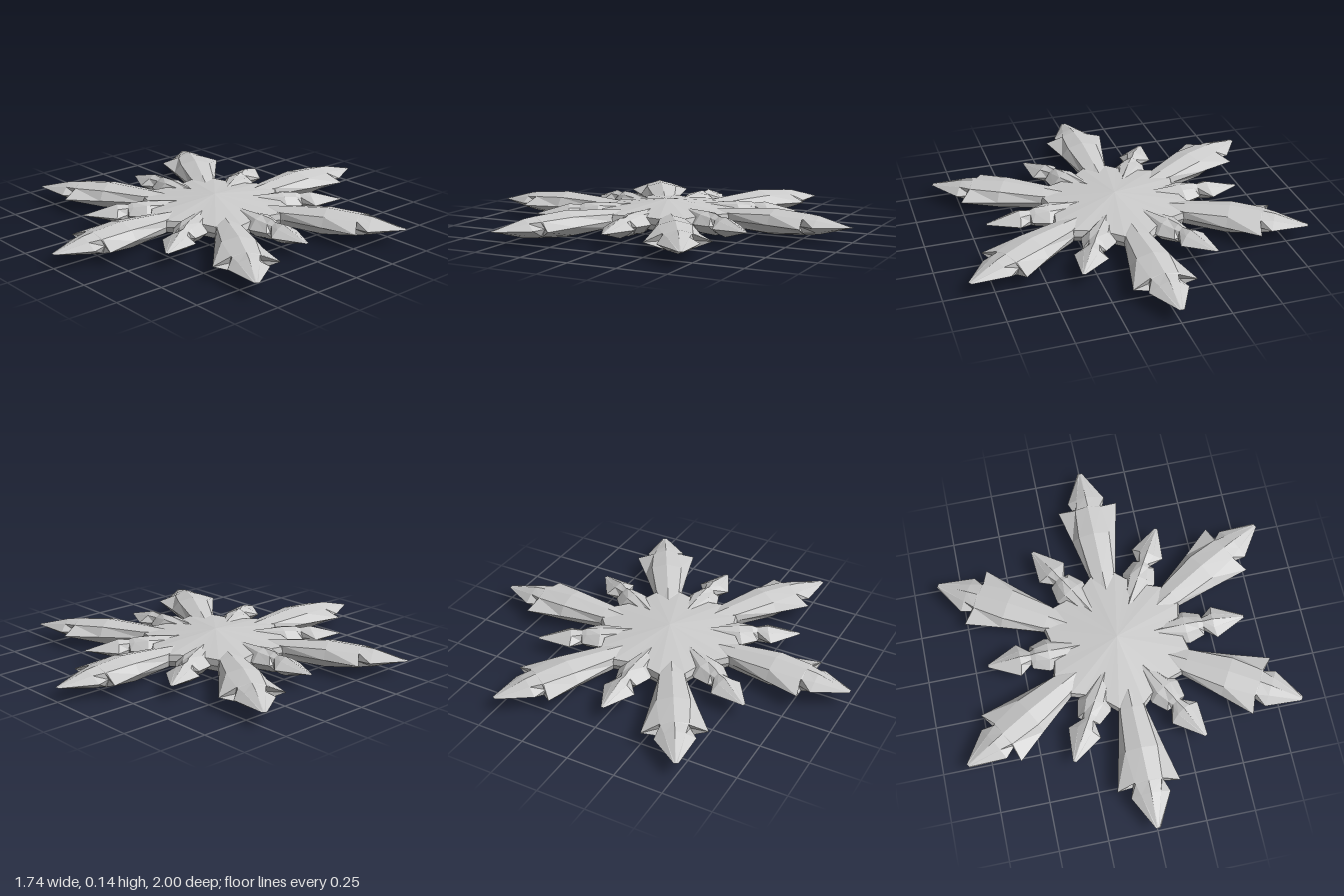
import * as THREE from 'three';

const MID = 0.0725; // height of the plane of symmetry

// Faceted skin through a stack of closed rings (arrays of [x, y, z])
function loft(rings) {
  const pos = [];
  const n = rings[0].length;
  for (let i = 0; i < rings.length - 1; i++) {
    for (let j = 0; j < n; j++) {
      const k = (j + 1) % n;
      const a = rings[i][j], b = rings[i][k], c = rings[i + 1][k], d = rings[i + 1][j];
      pos.push(...a, ...b, ...c, ...a, ...c, ...d);
    }
  }
  const geo = new THREE.BufferGeometry();
  geo.setAttribute('position', new THREE.Float32BufferAttribute(pos, 3));
  geo.computeVertexNormals();
  return geo;
}

// Eight-sided crystal section: ridge, shoulders and sharp side edges, mirrored below.
// The side edges may sit further along the arm than the ridge, which makes barbs.
function armRing([r, ridge, shoulderW, shoulderH, edgeR, edgeW]) {
  return [
    [edgeW, 0, edgeR], [shoulderW, shoulderH, r], [0, ridge, r], [-shoulderW, shoulderH, r],
    [-edgeW, 0, edgeR], [-shoulderW, -shoulderH, r], [0, -ridge, r], [shoulderW, -shoulderH, r],
  ];
}

// Columns: distance, ridge height, shoulder width, shoulder height, edge distance, edge width
const LARGE_ARM = [
  [0.10, 0.030, 0.015, 0.020, 0.10, 0.03],
  [0.28, 0.041, 0.030, 0.030, 0.28, 0.045],
  [0.38, 0.050, 0.062, 0.033, 0.38, 0.072],
  [0.60, 0.067, 0.082, 0.045, 0.60, 0.118],
  [0.765, 0.054, 0.070, 0.036, 0.785, 0.16],
  [0.77, 0.054, 0.066, 0.034, 0.755, 0.074],
  [0.83, 0.047, 0.050, 0.030, 0.83, 0.10],
  [1.00, 0, 0.006, 0, 1.00, 0.012],
];

const SMALL_ARM = [
  [0.15, 0.046, 0.015, 0.030, 0.15, 0.03],
  [0.36, 0.056, 0.045, 0.045, 0.37, 0.09],
  [0.43, 0.054, 0.032, 0.036, 0.455, 0.06],
  [0.455, 0.044, 0.024, 0.030, 0.46, 0.038],
  [0.51, 0.050, 0.038, 0.032, 0.52, 0.087],
  [0.68, 0, 0.004, 0, 0.68, 0.008],
];

// Scalloped double cone, widest beside the large arms
function hubGeometry() {
  const ring = (scale, y) => {
    const points = [];
    for (let k = 0; k < 6; k++) {
      for (const [deg, r] of [[-10, 0.375], [10, 0.375], [19, 0.345], [30, 0.335], [41, 0.345]]) {
        const a = THREE.MathUtils.degToRad(k * 60 + deg);
        points.push([Math.sin(a) * r * scale, y, Math.cos(a) * r * scale]);
      }
    }
    return points;
  };
  return loft([ring(0, -0.0725), ring(1, -0.03), ring(1.03, 0), ring(1, 0.03), ring(0, 0.0725)]);
}

export function createModel() {
  const model = new THREE.Group();
  model.name = 'snowflake';
  const material = new THREE.MeshStandardMaterial({ color: 0xcccccc, flatShading: true });

  const add = (name, geometry, angle = 0) => {
    const mesh = new THREE.Mesh(geometry, material);
    mesh.name = name;
    mesh.position.y = MID;
    mesh.rotation.y = angle;
    model.add(mesh);
  };

  add('hub', hubGeometry());

  // Six large barbed arms with six small ones between them
  const large = loft(LARGE_ARM.map(armRing));
  const small = loft(SMALL_ARM.map(armRing));
  for (let k = 0; k < 6; k++) {
    add('largeArm' + (k + 1), large, (k * Math.PI) / 3);
    add('smallArm' + (k + 1), small, ((k + 0.5) * Math.PI) / 3);
  }
  return model;
}
